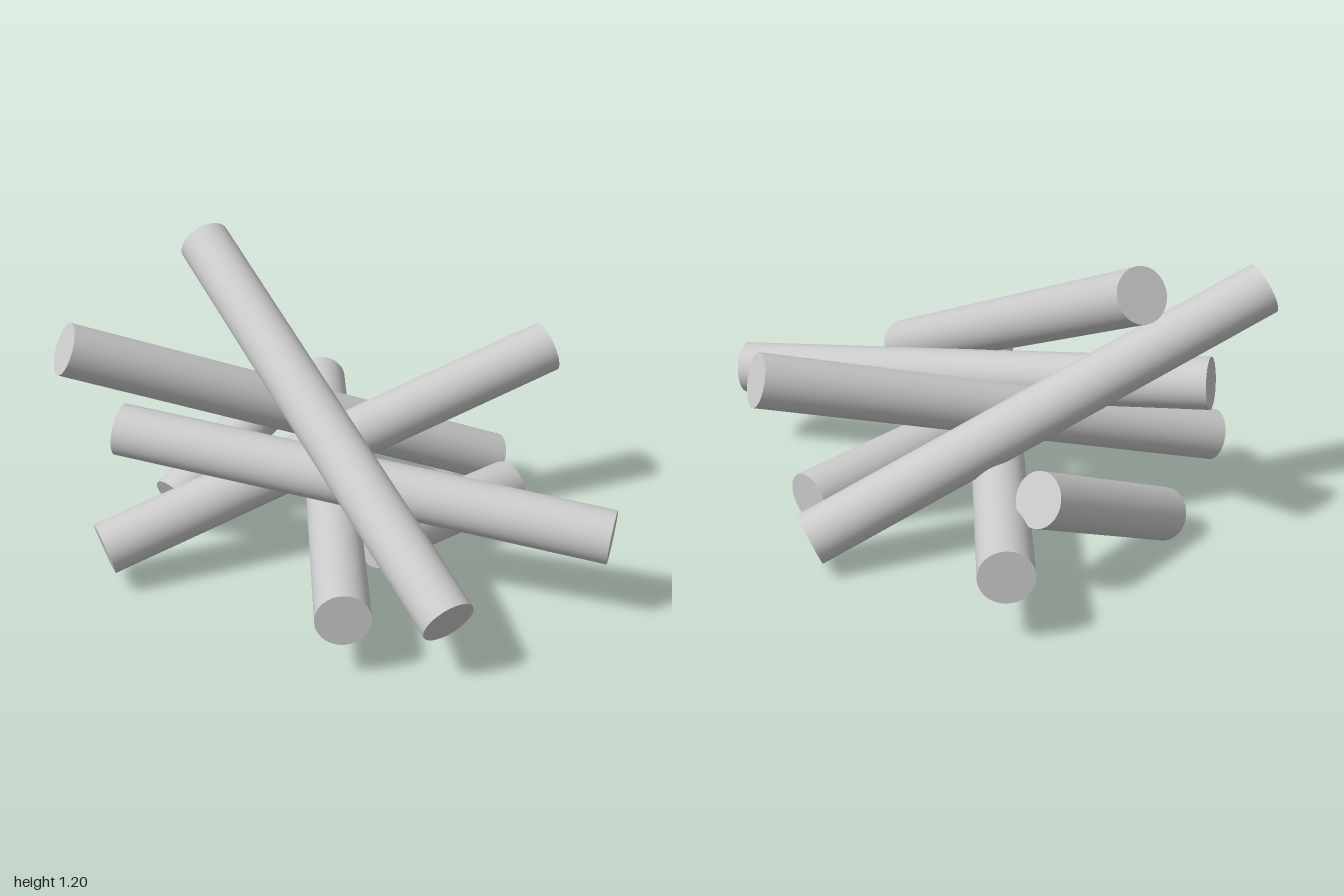
import * as THREE from 'three';

const RADIUS = 0.102;

// Each log: name, centre of one end, centre of the other end
const LOGS = [
  ['leaningLog', [-0.18, 0.262, 0.95], [-0.18, 1.115, -0.775]],
  ['upperLeftLog', [-0.906, 0.906, -0.555], [0.83, 0.137, -0.157]],
  ['upperRightLog', [-0.912, 0.17, -0.29], [0.912, 0.715, 0.064]],
  ['lowDiagonalLog', [-0.474, 0.248, 0.727], [0.471, 0.28, -0.952]],
  ['middleDiagonalLog', [0.582, 0.347, 0.91], [-0.716, 0.537, -0.51]],
  ['shortBackLog', [-0.443, 0.095, -0.612], [0.23, 0.425, -0.77]],
  ['shortFrontLog', [-0.045, 0.195, 0.252], [0.71, 0.152, 0.096]],
];

// Capped cylinder spanning two points
function makeLog(name, start, end) {
  const a = new THREE.Vector3(...start);
  const b = new THREE.Vector3(...end);
  const axis = b.clone().sub(a);
  const log = new THREE.Mesh(
    new THREE.CylinderGeometry(RADIUS, RADIUS, axis.length(), 48),
    new THREE.MeshStandardMaterial({ color: 0xcccccc })
  );
  log.name = name;
  log.position.copy(a).add(b).multiplyScalar(0.5);
  log.quaternion.setFromUnitVectors(new THREE.Vector3(0, 1, 0), axis.normalize());
  return log;
}

export function createModel() {
  const group = new THREE.Group();
  group.name = 'logPile';
  for (const [name, start, end] of LOGS) group.add(makeLog(name, start, end));
  return group;
}
